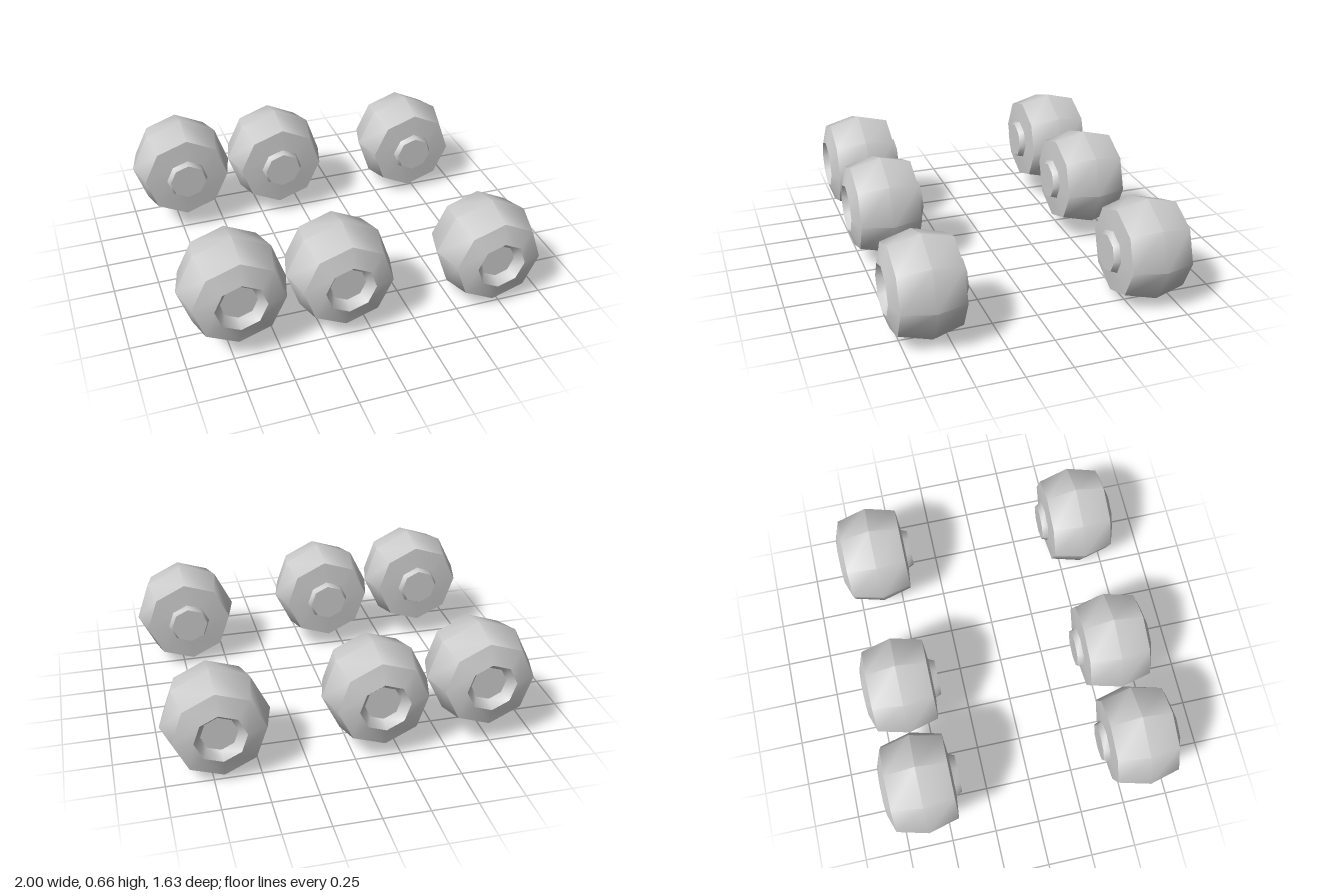
import * as THREE from 'three';
import { toCreasedNormals } from 'three/addons/utils/BufferGeometryUtils.js';

// Wheel half-section: [radius, distance from the middle plane], inner hub to outer recess
const PROFILE = [
  [0, 0.395], [0.105, 0.395], [0.12, 0.428], // axle stub
  [0.243, 0.44], [0.288, 0.61], [0.243, 0.78], // barrel-shaped tread
  [0.137, 0.815], // sloped outer face
  [0.097, 0.765], [0, 0.765], // hub recess
].map(([r, d]) => new THREE.Vector2(r, d));

// Octagonal wheel already pushed out to its side (+1 front, -1 back)
function wheelGeometry(side) {
  const lathe = new THREE.LatheGeometry(PROFILE, 8);
  lathe.rotateX(side * Math.PI / 2);
  lathe.rotateZ(-0.06);
  return toCreasedNormals(lathe, 0.85);
}

export function createModel() {
  const group = new THREE.Group();
  group.name = 'wheelSet';
  const material = new THREE.MeshStandardMaterial({ color: 0xcccccc });

  // Axle positions along x, with their heights
  const axles = [
    ['Left', 0.712, 0.289],
    ['Middle', -0.137, 0.342],
    ['Right', -0.712, 0.377],
  ];

  for (const [side, row] of [[1, 'front'], [-1, 'back']]) {
    const geometry = wheelGeometry(side);
    for (const [label, x, y] of axles) {
      const wheel = new THREE.Mesh(geometry, material);
      wheel.name = `${row}${label}Wheel`;
      wheel.position.set(x, y, 0);
      group.add(wheel);
    }
  }
  return group;
}
